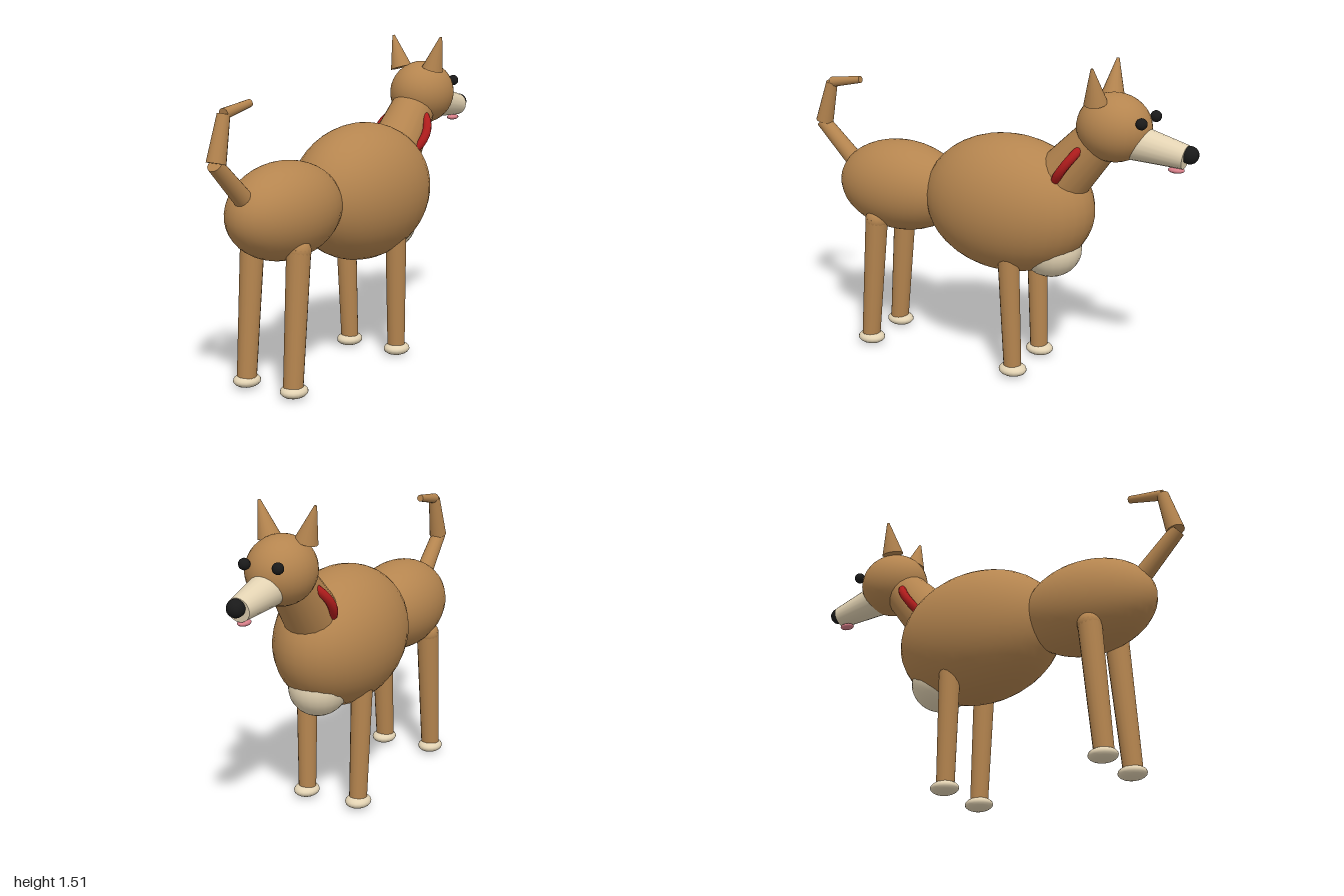
import * as THREE from 'three';

const mat = (name, color) => {
  const m = new THREE.MeshStandardMaterial({ color });
  m.name = name;
  return m;
};

export function createModel() {
  const dog = new THREE.Group();
  dog.name = 'dog';
  const fur = mat('brown fur', 0xb5854f);
  const cream = mat('cream fur', 0xe3d3b3);
  const black = mat('black', 0x1a1a1a);
  const red = mat('red collar', 0xb01c1c);
  const pink = mat('pink tongue', 0xd9808a);

  const add = (name, geometry, material) => {
    const mesh = new THREE.Mesh(geometry, material);
    mesh.name = name;
    dog.add(mesh);
    return mesh;
  };

  // Ellipsoid from centre and three radii
  const ball = (name, material, pos, radii, seg = 24) => {
    const mesh = add(name, new THREE.SphereGeometry(1, seg, Math.round(seg * 0.67)), material);
    mesh.position.set(...pos);
    mesh.scale.set(...radii);
    return mesh;
  };

  // Tapered cylinder between two points
  const limb = (name, material, from, to, r0, r1, seg = 16) => {
    const a = new THREE.Vector3(...from);
    const b = new THREE.Vector3(...to);
    const dir = b.clone().sub(a);
    const mesh = add(name, new THREE.CylinderGeometry(r1, r0, dir.length(), seg), material);
    mesh.position.copy(a).add(b).multiplyScalar(0.5);
    mesh.quaternion.setFromUnitVectors(new THREE.Vector3(0, 1, 0), dir.normalize());
    return mesh;
  };

  // Body
  ball('chest', fur, [0.08, 0.805, 0], [0.425, 0.325, 0.276], 32);
  ball('hips', fur, [-0.51, 0.805, 0], [0.33, 0.22, 0.207], 32);
  ball('chestPatch', cream, [0.298, 0.618, 0], [0.15, 0.138, 0.137]);

  // Neck, with the collar ring lying along the neck so only its sides show
  limb('neck', fur, [0.256, 0.849, 0], [0.591, 1.237, 0], 0.146, 0.098, 20);
  const collar = add('collar', new THREE.TorusGeometry(0.14, 0.021, 10, 32), red);
  collar.position.set(0.42, 1.047, 0);
  collar.rotation.set(0, Math.PI / 2, 0);
  collar.rotation.order = 'ZYX';
  collar.rotation.z = -0.62;

  // Head
  ball('head', fur, [0.603, 1.23, 0], [0.172, 0.155, 0.153], 28);
  limb('muzzle', cream, [0.66, 1.182, 0], [0.942, 1.138, 0], 0.086, 0.054, 20);
  ball('nose', black, [0.96, 1.15, 0], [0.04, 0.04, 0.04], 16);
  ball('tongue', pink, [0.9, 1.075, 0], [0.038, 0.014, 0.026], 16);

  // Paired parts
  for (const [side, s] of [['right', 1], ['left', -1]].map(([n, v]) => [n, v])) {
    // The animal faces +x, so its own right is +z
    ball(`${side}Eye`, black, [0.765, 1.281, 0.082 * s], [0.026, 0.026, 0.026], 16);
    limb(`${side}Ear`, fur, [0.552, 1.352, 0.092 * s], [0.552, 1.51, 0.139 * s], 0.053, 0.006);

    limb(`${side}FrontLeg`, fur, [0.175, 0.04, 0.138 * s], [0.153, 0.64, 0.147 * s], 0.042, 0.051);
    ball(`${side}FrontPaw`, cream, [0.177, 0.031, 0.14 * s], [0.068, 0.031, 0.06], 18);

    ball(`${side}HindJoint`, fur, [-0.577, 0.652, 0.13 * s], [0.056, 0.056, 0.056], 18);
    limb(`${side}HindLeg`, fur, [-0.627, 0.04, 0.132 * s], [-0.577, 0.66, 0.13 * s], 0.045, 0.055);
    ball(`${side}HindPaw`, cream, [-0.623, 0.031, 0.134 * s], [0.068, 0.031, 0.06], 18);
  }

  // Tail in three bent sections
  limb('tailBase', fur, [-0.72, 0.83, 0], [-0.966, 1.067, 0], 0.046, 0.035);
  limb('tailMiddle', fur, [-0.957, 1.07, 0], [-0.905, 1.27, 0], 0.043, 0.028);
  limb('tailTip', fur, [-0.905, 1.27, 0], [-0.737, 1.3, 0], 0.025, 0.017);

  return dog;
}
